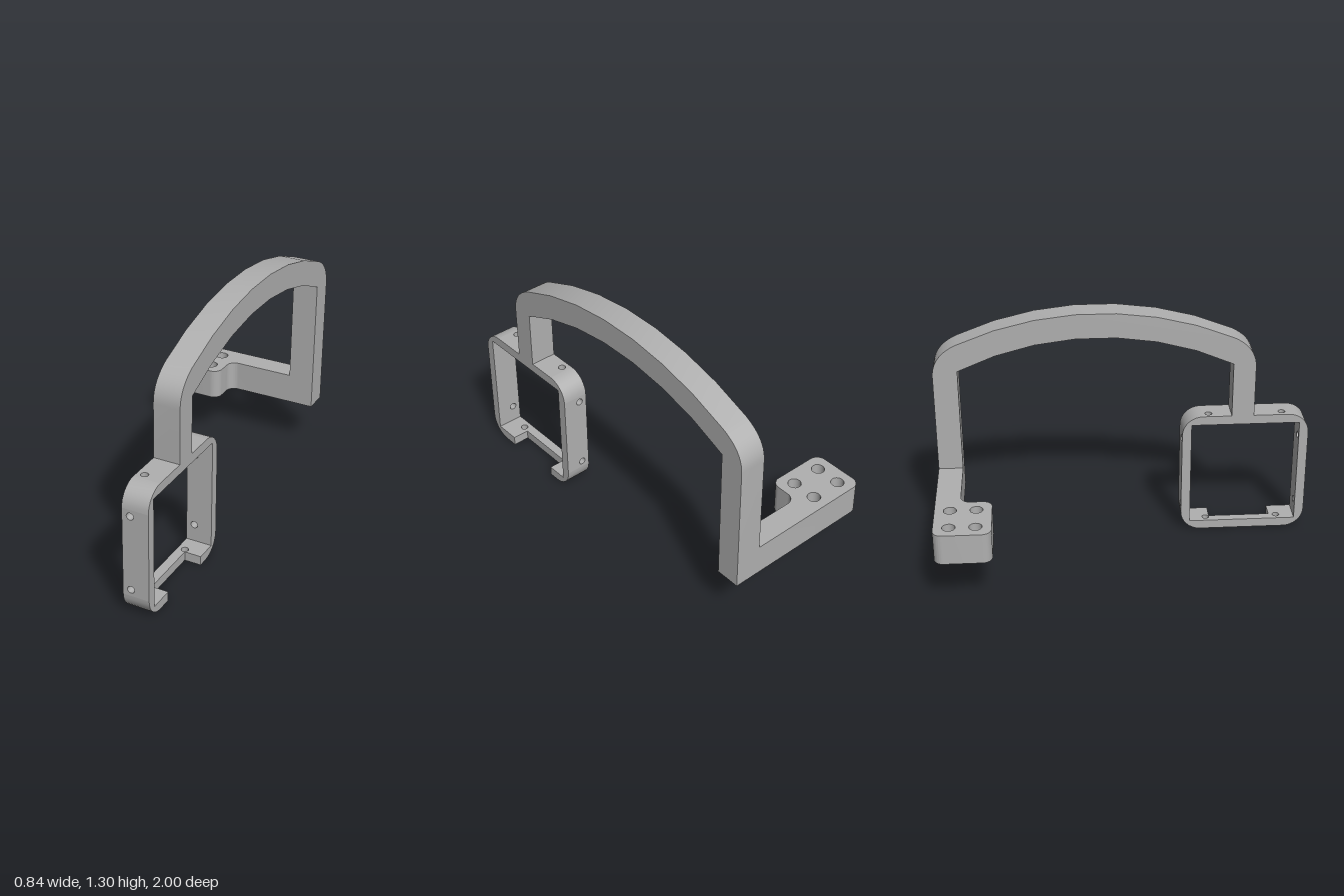
import * as THREE from 'three';
import { toCreasedNormals } from 'three/addons/utils/BufferGeometryUtils.js';

const X0 = 0.28, X1 = 0.42, WIDTH = X1 - X0;   // side faces of handle and frame
const WALL = 0.05, CORNER = 0.11;              // frame wall thickness, corner radius
const Z0 = 0.315, Z1 = 1, TOP = 0.695;         // frame extents

export function createModel() {
  const group = new THREE.Group();
  const grey = new THREE.MeshStandardMaterial({ color: 0xb0b0b0 });
  grey.name = 'plain grey';

  const polygon = pts => new THREE.Shape(pts.map(p => new THREE.Vector2(p[0], p[1])));
  const drill = (shape, x, y, r) => {
    const hole = new THREE.Path();
    hole.absarc(x, y, r, 0, Math.PI * 2, true);
    shape.holes.push(hole);
  };
  const extrude = (shape, depth) =>
    new THREE.ExtrudeGeometry(shape, { depth, bevelEnabled: false, curveSegments: 10 });
  const add = (name, geometry) => {
    const mesh = new THREE.Mesh(toCreasedNormals(geometry, 0.5), grey);
    mesh.name = name;
    group.add(mesh);
  };
  // Side profile drawn in (-z, y), extruded across x
  const fromSide = shape => extrude(shape, WIDTH).rotateY(Math.PI / 2).translate(X0, 0, 0);
  // Plan drawn in (x, -z), extruded upwards from y
  const fromTop = (shape, y, height) => extrude(shape, height).rotateX(-Math.PI / 2).translate(0, y, 0);

  // Arched handle with its two posts
  const mid = 0.145, centreY = -0.461, inner = 1.631, outer = 1.766, half = 0.4607;
  const arc = (r, t) => [mid + r * Math.sin(t), centreY + r * Math.cos(t)];
  const handle = new THREE.Shape();
  handle.moveTo(-0.58, TOP - 0.005);
  handle.lineTo(-0.7, TOP - 0.005);
  handle.lineTo(-0.7, 0.98);
  const reach = 0.424;
  const start = arc(outer, -reach), end = arc(outer, reach);
  handle.quadraticCurveTo(-0.7, 1.09, start[0], start[1]);
  for (let i = 1; i <= 7; i++) handle.lineTo(...arc(outer, -reach + 2 * reach * i / 7));
  handle.quadraticCurveTo(1, 1.09, 1, 0.97);
  handle.lineTo(1, 0.265);
  handle.lineTo(0.87, 0.265);
  for (let i = 0; i <= 7; i++) handle.lineTo(...arc(inner, half - 2 * half * i / 7));
  add('archedHandle', fromSide(handle));

  // Rounded frame corners with square inside edges
  for (const front of [true, false]) for (const upper of [true, false]) {
    const sx = front ? -1 : 1, sy = upper ? 1 : -1;
    const cx = front ? -(Z1 - CORNER) : -(Z0 + CORNER);
    const cy = upper ? TOP - CORNER : CORNER;
    const pts = [];
    for (let i = 0; i <= 8; i++) {
      const a = i / 8 * Math.PI / 2;
      pts.push([cx + sx * CORNER * Math.cos(a), cy + sy * CORNER * Math.sin(a)]);
    }
    const k = CORNER - WALL;
    pts.push([cx, cy + sy * k], [cx + sx * k, cy + sy * k], [cx + sx * k, cy]);
    add('frameCorner', fromSide(polygon(pts)));
  }

  // Upright frame walls with screw holes
  for (const z of [Z0, Z1 - WALL]) {
    const wall = polygon([[X0, CORNER], [X1, CORNER], [X1, TOP - CORNER], [X0, TOP - CORNER]]);
    for (const y of [0.145, 0.55]) drill(wall, 0.323, y, 0.019);
    add('frameUprightWall', extrude(wall, WALL).translate(0, 0, z));
  }

  // Top wall, and bottom wall with a notch on its outer side
  const a = -(Z1 - CORNER), b = -(Z0 + CORNER);
  const topWall = polygon([[X0, a], [X1, a], [X1, b], [X0, b]]);
  const bottomWall = polygon([[X0, a], [X1, a], [X1, -0.815], [0.33, -0.815],
    [0.33, -0.478], [X1, -0.478], [X1, b], [X0, b]]);
  for (const z of [0.855, 0.458]) {
    drill(topWall, 0.32, -z, 0.019);
    drill(bottomWall, 0.32, -z, 0.019);
  }
  add('frameTopWall', fromTop(topWall, TOP - WALL, WALL));
  add('frameBottomWall', fromTop(bottomWall, 0, WALL));

  // Mounting arm ending in a rounded pad with four bolt holes
  const r = 0.05, L = -0.42, R = -0.09, F = 0.705, S = 0.87;
  const arm = new THREE.Shape();
  arm.moveTo(X0, S);
  arm.lineTo(X0, 1);
  arm.lineTo(L + r, 1);
  arm.absarc(L + r, 1 - r, r, Math.PI / 2, Math.PI, false);
  arm.lineTo(L, F + r);
  arm.absarc(L + r, F + r, r, Math.PI, Math.PI * 1.5, false);
  arm.lineTo(R - r, F);
  arm.absarc(R - r, F + r, r, -Math.PI / 2, 0, false);
  arm.lineTo(R, S - r);
  arm.absarc(R + r, S - r, r, Math.PI, Math.PI / 2, true);
  for (const x of [-0.34, -0.172]) for (const z of [0.92, 0.785]) drill(arm, x, z, 0.034);
  add('mountingArm', fromTop(arm, 0.265, 0.165));

  return group;
}
